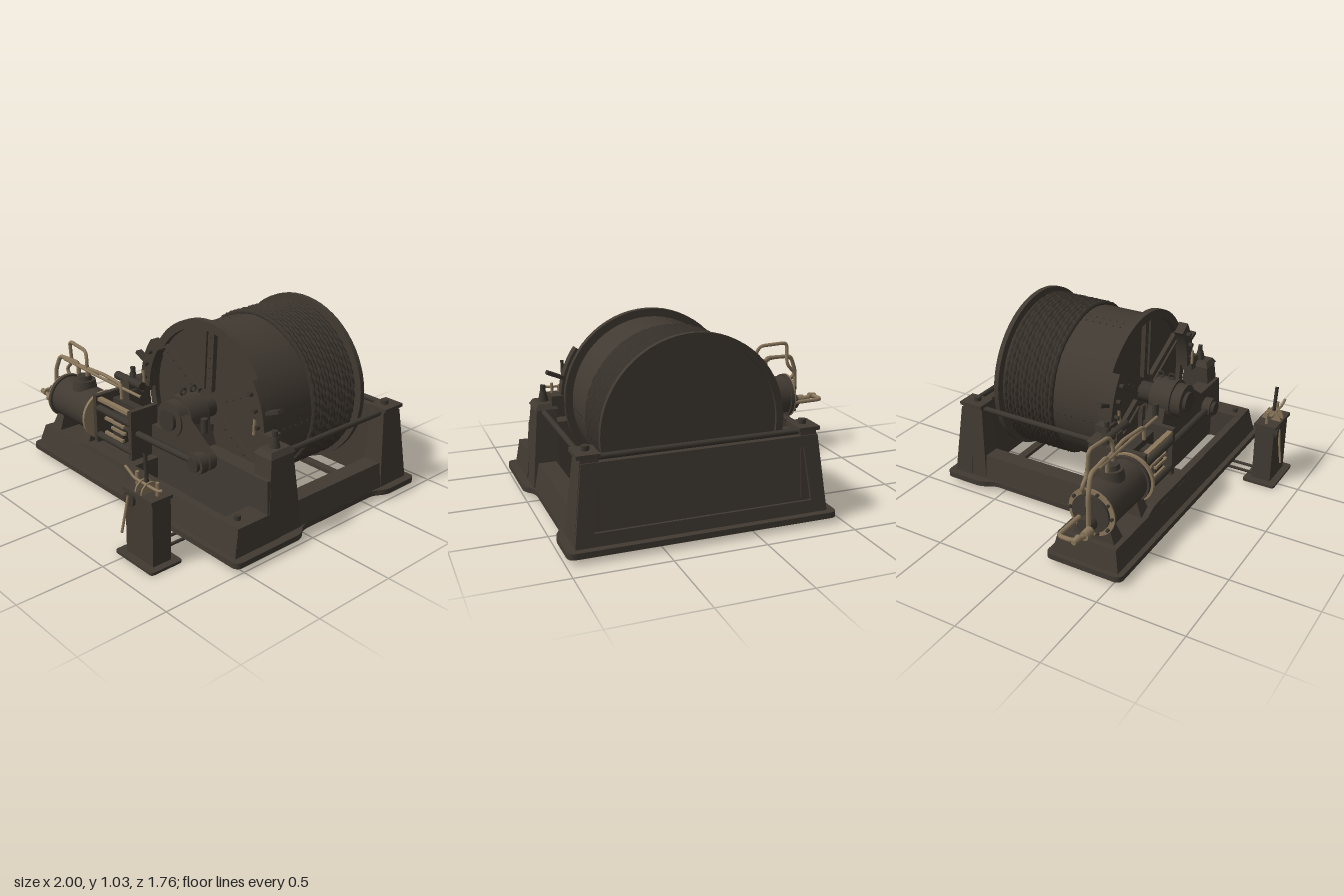
import * as THREE from 'three';

const mat = (name, color) => {
  const m = new THREE.MeshStandardMaterial({ color });
  m.name = name;
  return m;
};

export function createModel() {
  const root = new THREE.Group();
  root.name = 'steamWinch';
  const iron = mat('cast iron', 0x413a32);
  const steel = mat('dark steel', 0x3b362f);
  const ropeMat = mat('tarred rope', 0x38322b);
  const brass = mat('aged brass', 0x8a775c);

  // ---------- helpers ----------
  const add = (name, geo, m, x = 0, y = 0, z = 0, parent = root) => {
    const mesh = new THREE.Mesh(geo, m);
    mesh.name = name;
    mesh.position.set(x, y, z);
    parent.add(mesh);
    return mesh;
  };
  // box given by its limits
  const box = (name, m, x0, x1, y0, y1, z0, z1) =>
    add(name, new THREE.BoxGeometry(x1 - x0, y1 - y0, z1 - z0), m, (x0 + x1) / 2, (y0 + y1) / 2, (z0 + z1) / 2);
  // box whose bottom and top rectangles [x0, x1, z0, z1] differ
  const taper = (name, m, b, t, y0, y1) => {
    const g = new THREE.BoxGeometry(1, 1, 1), p = g.attributes.position;
    for (let i = 0; i < p.count; i++) {
      const r = p.getY(i) > 0 ? t : b;
      p.setXYZ(i, p.getX(i) < 0 ? r[0] : r[1], p.getY(i) > 0 ? y1 : y0, p.getZ(i) < 0 ? r[2] : r[3]);
    }
    g.computeVertexNormals();
    return add(name, g, m);
  };
  const cyl = (name, m, axis, r, len, x, y, z, n = 24, r2 = r) => {
    const g = new THREE.CylinderGeometry(r2, r, len, n);
    if (axis === 'x') g.rotateZ(-Math.PI / 2);
    if (axis === 'z') g.rotateX(Math.PI / 2);
    return add(name, g, m, x, y, z);
  };
  // pipe through points with slightly rounded bends
  const pipe = (name, m, r, pts) => {
    const v = pts.map(p => new THREE.Vector3(...p)), path = new THREE.CurvePath();
    let from = v[0];
    for (let i = 1; i < v.length - 1; i++) {
      const cut = d => v[i].clone().add(d.sub(v[i]).setLength(Math.min(0.03, d.length() * 0.45)));
      const a = cut(v[i - 1].clone()), b = cut(v[i + 1].clone());
      path.add(new THREE.LineCurve3(from, a));
      path.add(new THREE.QuadraticBezierCurve3(a, v[i], b));
      from = b;
    }
    path.add(new THREE.LineCurve3(from, v[v.length - 1]));
    return add(name, new THREE.TubeGeometry(path, v.length * 12, r, 8), m);
  };
  const roundPoly = (pts, r, S = THREE.Shape) => {
    const s = new S(), n = pts.length;
    pts.forEach((p, i) => {
      const P = new THREE.Vector2(...p);
      const to = q => P.clone().add(new THREE.Vector2(...q).sub(P).setLength(r));
      const a = to(pts[(i + n - 1) % n]), b = to(pts[(i + 1) % n]);
      i ? s.lineTo(a.x, a.y) : s.moveTo(a.x, a.y);
      s.quadraticCurveTo(P.x, P.y, b.x, b.y);
    });
    s.closePath();
    return s;
  };
  const rect = (x0, x1, y0, y1) => [[x0, y0], [x1, y0], [x1, y1], [x0, y1]];
  const extrude = (s, depth) => new THREE.ExtrudeGeometry(s, { depth, bevelEnabled: false, curveSegments: 32 });

  // ---------- bed plate on three skid bars ----------
  const plate = roundPoly([[-0.85, 0.09], [-0.42, 0.09], [-0.42, -0.56], [-0.465, -0.62], [-0.465, -0.88], [0.99, -0.88],
    [0.99, -0.62], [0.945, -0.56], [0.945, 0.03], [1, 0.08], [1, 0.55], [-0.85, 0.55]], 0.045);
  plate.holes.push(roundPoly(rect(-0.28, 0.8, -0.72, 0.16), 0.02, THREE.Path), roundPoly(rect(0.05, 0.8, 0.27, 0.44), 0.02, THREE.Path));
  add('bedPlate', extrude(plate, 0.032).rotateX(Math.PI / 2), iron, 0, 0.062, 0);
  for (const z of [-0.62, 0.09, 0.38]) box('skidBar', iron, -0.35, 0.89, 0.01, 0.032, z - 0.025, z + 0.025);

  // ---------- frame ----------
  taper('backWall', iron, [-0.42, 0.945, -0.82, -0.72], [-0.37, 0.895, -0.785, -0.72], 0.06, 0.475);
  const toV = q => new THREE.Vector2(...q);
  const panel = new THREE.Shape([[-0.42, 0], [0.945, 0], [0.895, 0.42], [-0.37, 0.42]].map(toV));
  panel.holes.push(new THREE.Path([[-0.33, 0.07], [0.85, 0.07], [0.81, 0.36], [-0.29, 0.36]].map(toV)));
  add('backPanelFrame', extrude(panel, 0.02), iron, 0, 0.06, -0.84).rotation.x = 0.09;
  cyl('backRail', steel, 'x', 0.016, 1.18, 0.26, 0.495, -0.765, 10);
  taper('frontBeam', iron, [-0.41, 0.945, 0.16, 0.28], [-0.36, 0.915, 0.175, 0.27], 0.06, 0.39);
  for (const s of [-1, 1]) {
    const c = 0.265, lim = (a, b, z0, z1) => [Math.min(c + s * a, c + s * b), Math.max(c + s * a, c + s * b), z0, z1];
    taper('sideSill', iron, lim(0.54, 0.68, -0.75, 0.2), lim(0.55, 0.65, -0.75, 0.2), 0.06, 0.2);
    taper('backPost', iron, lim(0.54, 0.68, -0.82, -0.62), lim(0.54, 0.63, -0.79, -0.66), 0.06, 0.51);
    taper('frontPost', iron, lim(0.53, 0.685, 0.04, 0.28), lim(0.53, 0.64, 0.08, 0.235), 0.06, 0.51);
    taper('frontPostCap', iron, lim(0.52, 0.65, 0.07, 0.245), lim(0.54, 0.63, 0.09, 0.225), 0.5, 0.53);
    box('backPostCap', iron, c + s * 0.59 - 0.06, c + s * 0.59 + 0.06, 0.5, 0.52, -0.8, -0.65);
    cyl('sideRail', steel, 'z', 0.016, 0.92, c + s * 0.6, 0.485, -0.27, 10);
    cyl('postBolt', steel, 'y', 0.032, 0.06, c + s * 0.585, 0.555, 0.16, 12, 0.018);
    cyl('postBoltTip', steel, 'y', 0.015, 0.05, c + s * 0.585, 0.595, 0.16, 8);
    cyl('backPostBolt', steel, 'y', 0.022, 0.03, c + s * 0.585, 0.53, -0.72, 8);
  }

  // ---------- engine bed ----------
  taper('engineBed', iron, [-0.82, 0.05, 0.12, 0.52], [-0.79, 0.05, 0.14, 0.49], 0.06, 0.18);
  taper('bedRise', iron, [-0.45, 0.05, 0.16, 0.489], [-0.36, 0.05, 0.16, 0.485], 0.18, 0.205);
  taper('frontBedWall', iron, [0.04, 0.955, 0.43, 0.52], [0.04, 0.935, 0.44, 0.485], 0.06, 0.205);
  taper('bedEndWall', iron, [0.8, 0.955, 0.2, 0.51], [0.8, 0.935, 0.2, 0.485], 0.06, 0.21);
  cyl('bedBolt', steel, 'y', 0.018, 0.03, 0.86, 0.22, 0.42, 8);

  // ---------- drum ----------
  const cx = 0.255, cy = 0.535;
  cyl('drumBarrel', iron, 'z', 0.452, 0.69, cx, cy, -0.28, 72);
  const ring = (ro, ri) => {
    const s = new THREE.Shape().absarc(0, 0, ro, 0, Math.PI * 2);
    s.holes.push(new THREE.Path().absarc(0, 0, ri, 0, Math.PI * 2, true));
    return s;
  };
  add('frontFlange', extrude(ring(0.495, 0.445), 0.04), iron, cx, cy, 0.055);
  add('backFlange', extrude(ring(0.5, 0.46), 0.03), iron, cx, cy, -0.655);
  cyl('backDisc', iron, 'z', 0.47, 0.012, cx, cy, -0.632, 64);
  for (let i = 0; i < 6; i++) {
    const spoke = new THREE.Group();
    spoke.name = 'drumSpoke';
    spoke.position.set(cx, cy, 0.07);
    spoke.rotation.z = i * Math.PI / 3 - 0.05;
    root.add(spoke);
    add('spokeWeb', new THREE.BoxGeometry(0.07, 0.34, 0.02), iron, 0, 0.27, 0, spoke);
    for (const s of [-1, 1]) add('spokeRib', new THREE.BoxGeometry(0.014, 0.34, 0.035), iron, s * 0.03, 0.27, 0.005, spoke);
    for (let k = 0; k < 5; k++) add('rivet', new THREE.SphereGeometry(0.006, 6, 4), steel, 0, 0.17 + k * 0.06, 0.011, spoke);
  }
  // barrel seam rivets
  for (let k = 0; k < 7; k++) for (const a of [1.76, 1.86, -0.06, 3.2])
    add('seamRivet', new THREE.SphereGeometry(0.006, 6, 4), steel, cx + 0.452 * Math.cos(a), cy + 0.452 * Math.sin(a), 0.03 - k * 0.045);

  // ---------- rope, each turn twisted into strands ----------
  const turn = new THREE.TorusGeometry(0.458, 0.0165, 8, 260), p = turn.attributes.position;
  for (let i = 0; i < p.count; i++) {
    const x = p.getX(i), y = p.getY(i), z = p.getZ(i), th = Math.atan2(y, x), rr = Math.hypot(x, y) - 0.458;
    const k = 1 + 0.15 * Math.cos(2 * Math.atan2(z, rr) + 56 * th + 2 * Math.sin(9 * th)), R = 0.458 + rr * k;
    p.setXYZ(i, R * Math.cos(th), R * Math.sin(th), z * k + 0.002 * Math.sin(7 * th));
  }
  turn.computeVertexNormals();
  for (let i = 0; i < 13; i++) add('ropeTurn', turn, ropeMat, cx, cy, -0.285 - i * 0.026).rotation.z = i * 2.37;

  // ---------- brake shoes ----------
  for (const s of [-1, 1]) {
    const a0 = s > 0 ? 0 : Math.PI - 0.62, a1 = a0 + 0.62;
    const shoe = new THREE.Shape().absarc(0, 0, 0.51, a0, a1).absarc(0, 0, 0.43, a1, a0, true);
    add('brakeShoe', extrude(shoe, 0.06), iron, cx, cy, 0.09);
    const lever = box('brakeLever', steel, -0.05, 0.05, -0.01, 0.01, 0.09, 0.13);
    lever.position.set(cx + s * 0.535, cy + 0.15, 0.11);
    lever.rotation.z = s * 0.4;
    for (let k = 0; k < 3; k++) {
      const a = 0.12 + k * 0.19;
      cyl('brakeBolt', steel, 'z', 0.014, 0.03, cx + s * 0.47 * Math.cos(a), cy + 0.47 * Math.sin(a), 0.16, 8);
    }
    box('brakeBracket', iron, cx + s * 0.52 - 0.045, cx + s * 0.52 + 0.045, 0.49, 0.57, 0.08, 0.16);
    pipe('brakeRod', brass, 0.009, [[cx + s * 0.455, 0.55, 0.17], [cx + s * 0.46, 0.64, 0.17]]);
  }

  // ---------- main bearing and crank ----------
  taper('bearingPedestal', iron, [0.08, 0.43, 0.165, 0.28], [0.14, 0.37, 0.17, 0.28], 0.36, 0.52);
  cyl('bearingCap', iron, 'z', 0.118, 0.13, cx, cy, 0.235, 32);
  cyl('crankHub', iron, 'z', 0.1, 0.06, cx, cy, 0.33, 32);
  cyl('mainShaft', steel, 'z', 0.06, 0.32, cx, cy, 0.22, 24);
  for (const s of [-1, 1]) {
    cyl('bearingBolt', steel, 'y', 0.02, 0.08, cx + s * 0.14, 0.51, 0.23, 8);
    add('liftingEye', new THREE.TorusGeometry(0.018, 0.006, 6, 14), steel, cx, 0.672, 0.225 + s * 0.035).rotation.y = Math.PI / 2;
  }
  // tapered arm from the hub to the pin
  const dx = 0.27, dy = -0.15, ang = Math.atan2(dy, dx), L = Math.hypot(dx, dy);
  const arm = new THREE.Shape().absarc(0, 0, 0.09, Math.PI / 2, Math.PI * 1.5).absarc(L, 0, 0.055, -Math.PI / 2, Math.PI / 2);
  add('crankArm', extrude(arm, 0.045), iron, cx, cy, 0.305).rotation.z = ang;
  cyl('crankPin', steel, 'z', 0.04, 0.14, cx + dx, cy + dy, 0.36, 20);
  cyl('rodBigEnd', iron, 'z', 0.058, 0.05, cx + dx, cy + dy, 0.385, 24);
  pipe('connectingRod', steel, 0.02, [[-0.14, 0.355, 0.37], [cx + dx, cy + dy, 0.385]]);

  // ---------- steam cylinder ----------
  const zc = 0.335, yc = 0.35;
  cyl('steamCylinder', iron, 'x', 0.125, 0.38, -0.575, yc, zc, 40);
  for (const [x, r, w] of [[-0.752, 0.136, 0.02], [-0.775, 0.11, 0.02], [-0.395, 0.138, 0.02]]) cyl('cylinderFlange', iron, 'x', r, w, x, yc, zc, 40);
  cyl('headGasket', brass, 'x', 0.138, 0.008, -0.766, yc, zc, 40);
  cyl('guideFlange', brass, 'x', 0.148, 0.018, -0.376, yc, 0.34, 40);
  for (let i = 0; i < 10; i++) {
    const a = i * Math.PI / 5;
    cyl('headBolt', steel, 'x', 0.01, 0.02, -0.775, yc + 0.124 * Math.sin(a), zc + 0.124 * Math.cos(a), 6);
  }
  for (const x of [-0.71, -0.42]) taper('cylinderFoot', iron, [x - 0.045, x + 0.045, 0.21, 0.46], [x - 0.03, x + 0.03, 0.25, 0.42], 0.18, 0.27);
  cyl('valveChest', iron, 'y', 0.075, 0.06, -0.57, 0.485, zc, 24, 0.065);
  cyl('valveCover', steel, 'y', 0.05, 0.03, -0.57, 0.525, zc, 20, 0.04);
  cyl('drainBoss', iron, 'x', 0.045, 0.06, -0.81, 0.3, zc, 16);

  // ---------- crosshead guide ----------
  box('guidePlate', iron, -0.365, -0.335, 0.2, 0.5, 0.22, 0.42);
  box('guidePlate', iron, -0.035, -0.005, 0.2, 0.505, 0.23, 0.42);
  for (const y of [0.25, 0.42]) for (const z of [0.255, 0.4]) cyl('guideBar', steel, 'x', 0.022, 0.34, -0.185, y, z, 10);
  for (const [x0, x1, y] of [[-0.27, -0.1, 0.29], [-0.21, -0.08, 0.34], [-0.27, -0.09, 0.38]]) box('slideBar', brass, x0, x1, y - 0.008, y + 0.008, 0.395, 0.412);
  box('topGuideBar', brass, -0.32, -0.04, 0.475, 0.495, 0.39, 0.42);
  box('crosshead', steel, -0.2, -0.11, 0.27, 0.42, 0.28, 0.4);
  box('guideBody', steel, -0.34, -0.03, 0.24, 0.46, 0.25, 0.3);
  cyl('pistonRod', steel, 'x', 0.025, 0.2, -0.28, yc, zc, 16);
  cyl('valveRocker', steel, 'x', 0.025, 0.24, -0.3, 0.55, 0.2, 12);
  taper('valveBracket', iron, [-0.36, -0.24, 0.16, 0.25], [-0.33, -0.27, 0.17, 0.23], 0.36, 0.56);

  // ---------- steam pipes ----------
  pipe('steamRiser', brass, 0.013, [[-0.8, 0.28, 0.36], [-0.84, 0.28, 0.36], [-0.84, 0.5, 0.36], [-0.8, 0.6, 0.35], [-0.62, 0.605, 0.34], [-0.62, 0.5, 0.34]]);
  pipe('secondRiser', brass, 0.011, [[-0.76, 0.45, 0.3], [-0.81, 0.5, 0.3], [-0.75, 0.56, 0.3], [-0.75, 0.7, 0.31], [-0.57, 0.69, 0.32], [-0.545, 0.64, 0.33], [-0.545, 0.5, 0.33]]);
  pipe('feedPipe', brass, 0.011, [[-0.64, 0.59, 0.34], [-0.4, 0.585, 0.31], [-0.21, 0.585, 0.33], [-0.205, 0.5, 0.33]]);
  pipe('longLink', brass, 0.009, [[-0.74, 0.6, 0.36], [-0.4, 0.57, 0.33], [-0.04, 0.56, 0.32]]);
  pipe('inletLoop', brass, 0.013, [[-0.74, 0.31, 0.27], [-0.985, 0.315, 0.27], [-0.985, 0.315, 0.36], [-0.9, 0.3, 0.38], [-0.8, 0.28, 0.35]]);
  cyl('inletValve', brass, 'x', 0.026, 0.06, -0.88, 0.3, 0.375, 12);
  cyl('inletNozzle', brass, 'x', 0.014, 0.05, -0.975, 0.315, 0.37, 10, 0.02);

  // ---------- control pedestal ----------
  add('pedestalBase', extrude(roundPoly(rect(0.43, 0.73, 0.67, 0.87), 0.02), 0.015).rotateX(Math.PI / 2), iron, 0, 0.016, 0);
  box('pedestalColumn', iron, 0.475, 0.69, 0.015, 0.37, 0.712, 0.828);
  box('pedestalTop', iron, 0.465, 0.7, 0.37, 0.388, 0.705, 0.84);
  // slotted lever quadrants
  for (const x of [0.562, 0.608]) {
    const quadrant = new THREE.CylinderGeometry(0.058, 0.058, 0.009, 20, 1, false, 0, Math.PI).rotateZ(Math.PI / 2);
    add('leverQuadrant', quadrant, brass, x, 0.387, 0.775);
  }
  pipe('mainLever', steel, 0.011, [[0.585, 0.39, 0.775], [0.585, 0.6, 0.785]]);
  pipe('crossHandle', brass, 0.008, [[0.43, 0.47, 0.79], [0.47, 0.45, 0.79], [0.5, 0.43, 0.79], [0.69, 0.43, 0.79], [0.73, 0.45, 0.79]]);
  for (const x of [0.5, 0.66]) cyl('controlStem', brass, 'y', 0.01, 0.08, x, 0.42, 0.77, 8);
  cyl('sideDial', steel, 'z', 0.04, 0.02, 0.52, 0.335, 0.835, 16);
  pipe('sideHandle', brass, 0.007, [[0.52, 0.36, 0.845], [0.51, 0.27, 0.855], [0.5, 0.15, 0.875]]);
  for (const x of [0.515, 0.585]) pipe('controlPipe', steel, 0.009, [[x, 0.02, 0.74], [x, 0.02, 0.46]]);
  return root;
}
